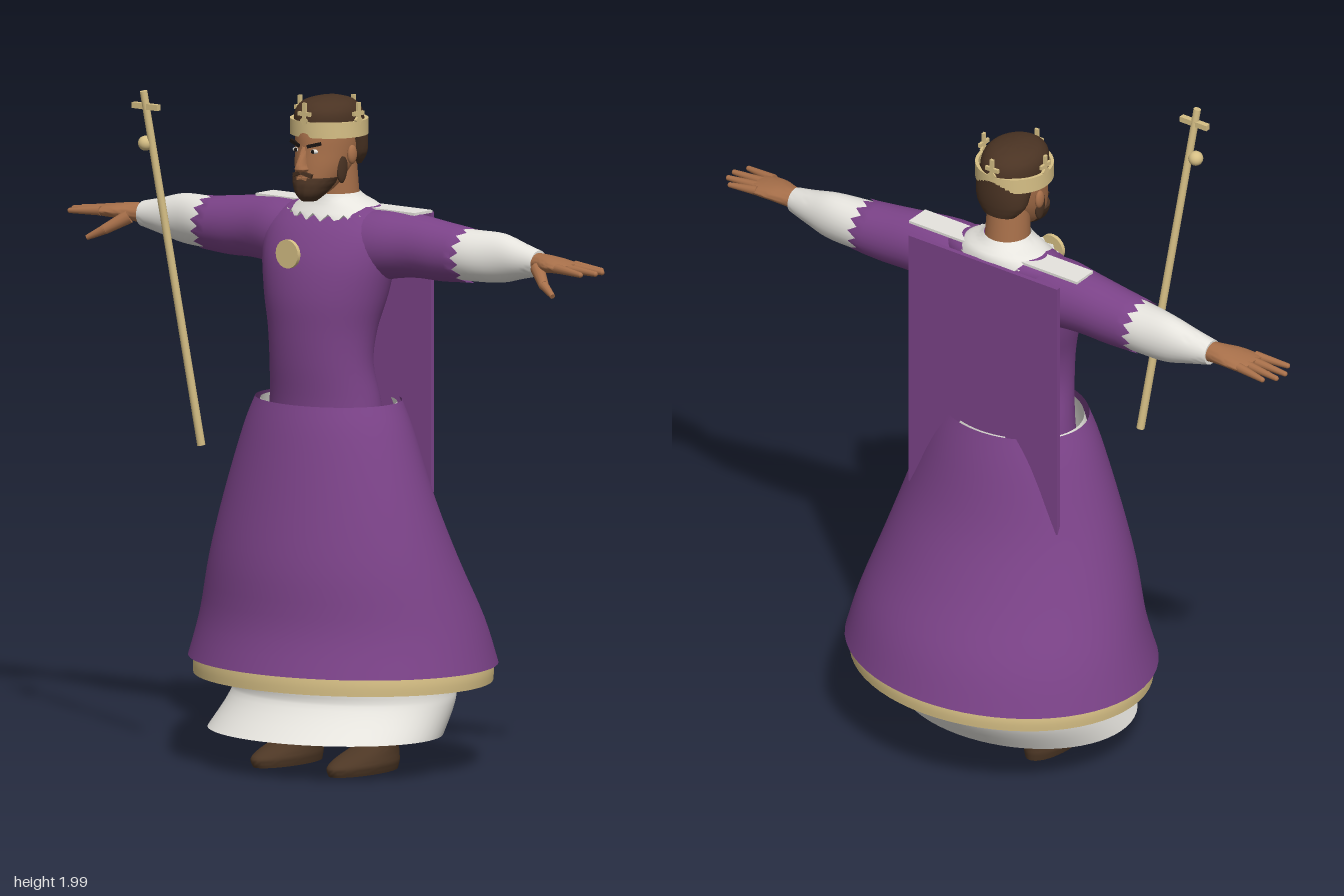
import * as THREE from 'three';
import { toCreasedNormals } from 'three/addons/utils/BufferGeometryUtils.js';

const mat = (name, color, side = THREE.FrontSide) => {
  const m = new THREE.MeshStandardMaterial({ color, side });
  m.name = name;
  return m;
};

// Smooth tube through elliptical sections [t, u0, u1, v0, v1]; v is z, and
// (t, u) is (y, x) for axis 'y' or (x, y) for axis 'x'. s = -1 mirrors in x.
function loft(rows, { n = 40, sub = 4, axis = 'y', s = 1, caps = true, jag = 0 } = {}) {
  const cr = (a, b, c, d, f) => b + 0.5 * f * (c - a + f * (2 * a - 5 * b + 4 * c - d + f * (3 * (b - c) + d - a)));
  const rings = [];
  for (let i = 0; i < rows.length - 1; i++) {
    const [a, b, c, d] = [i - 1, i, i + 1, i + 2].map(k => rows[THREE.MathUtils.clamp(k, 0, rows.length - 1)]);
    for (let j = 0; j < sub; j++) rings.push(b.map((_, k) => cr(a[k], b[k], c[k], d[k], j / sub)));
  }
  rings.push(rows[rows.length - 1]);
  const pos = [], idx = [], last = rings.length - 1;
  const put = (t, u, v) => (axis === 'y' ? pos.push(u, t, v) : pos.push(s * t, u, v));
  const dir = axis === 'y' ? 1 : -s;
  rings.forEach(([t, u0, u1, v0, v1], r) => {
    const torn = (jag > 0 && r === last) || (jag < 0 && r === 0);
    for (let i = 0; i < n; i++) {
      const q = (i / n) * Math.PI * 2;
      put(t + (torn ? (i % 2 ? jag : -jag) : 0),
        (u0 + u1) / 2 + dir * (u1 - u0) / 2 * Math.sin(q), (v0 + v1) / 2 + (v1 - v0) / 2 * Math.cos(q));
      if (r < last) {
        const a = r * n + i, b = r * n + (i + 1) % n;
        idx.push(a, b, b + n, a, b + n, a + n);
      }
    }
  });
  if (caps) {
    for (const r of [0, last]) {
      const [t, u0, u1, v0, v1] = rings[r], c = pos.length / 3;
      put(t, (u0 + u1) / 2, (v0 + v1) / 2);
      for (let i = 0; i < n; i++) {
        const a = r * n + i, b = r * n + (i + 1) % n;
        r ? idx.push(c, a, b) : idx.push(c, b, a);
      }
    }
  }
  const g = new THREE.BufferGeometry();
  g.setAttribute('position', new THREE.Float32BufferAttribute(pos, 3));
  g.setIndex(idx);
  return toCreasedNormals(g, 0.9);
}

// Rows symmetric in x: [y, halfWidth, zBack, zFront]
const sym = rows => rows.map(([y, h, b, f]) => [y, -h, h, b, f]);

export function createModel() {
  const D = THREE.DoubleSide;
  const purple = mat('purple cloth', 0x7c4389, D), white = mat('white linen', 0xe6e4de, D);
  const gold = mat('gold', 0xd6bf85, D), skin = mat('skin', 0xa8704a);
  const brown = mat('dark brown hair', 0x4a3323), leather = mat('shoe leather', 0x4d3725), black = mat('black', 0x1c1512);
  const model = new THREE.Group();
  model.name = 'robedKing';

  const add = (name, geo, m, x = 0, y = 0, z = 0, parent = model) => {
    const o = new THREE.Mesh(geo, m);
    o.name = name;
    o.position.set(x, y, z);
    parent.add(o);
    return o;
  };
  const limb = (name, a, b, r0, r1, m, n = 12) => {
    const p = new THREE.Vector3(...a), d = new THREE.Vector3(...b).sub(p);
    const o = add(name, new THREE.CylinderGeometry(r1, r0, d.length(), n), m);
    o.position.copy(p).addScaledVector(d, 0.5);
    o.quaternion.setFromUnitVectors(new THREE.Vector3(0, 1, 0), d.normalize());
    return o;
  };
  const ball = (name, m, x, y, z, rx, ry = rx, rz = rx) =>
    add(name, new THREE.SphereGeometry(1, 20, 14), m, x, y, z).scale.set(rx, ry, rz);
  const box = (w, h, d) => new THREE.BoxGeometry(w, h, d);

  // Skirts
  const open = { n: 64, caps: false };
  add('overskirt', loft(sym([[0.32, 0.48, -0.445, 0.355], [0.45, 0.445, -0.4, 0.318], [0.62, 0.395, -0.315, 0.303],
    [0.8, 0.338, -0.24, 0.27], [1.0, 0.27, -0.19, 0.23], [1.09, 0.23, -0.165, 0.206]]), open), purple);
  add('goldHem', loft(sym([[0.27, 0.465, -0.43, 0.34], [0.325, 0.463, -0.427, 0.335],
    [0.45, 0.425, -0.38, 0.298], [0.62, 0.37, -0.295, 0.28]]), open), gold);
  add('underskirt', loft(sym([[0.12, 0.37, -0.26, 0.33], [0.21, 0.357, -0.32, 0.235], [0.27, 0.35, -0.32, 0.225],
    [0.5, 0.34, -0.3, 0.24], [0.8, 0.3, -0.21, 0.24], [1.085, 0.215, -0.15, 0.19]]), open), white);

  // Torso, collar and cape
  add('tunic', loft(sym([[1.0, 0.19, -0.1, 0.165], [1.09, 0.18, -0.095, 0.165], [1.2, 0.168, -0.07, 0.175],
    [1.3, 0.175, -0.085, 0.18], [1.4, 0.2, -0.115, 0.18], [1.5, 0.222, -0.122, 0.16], [1.58, 0.23, -0.122, 0.12],
    [1.63, 0.205, -0.118, 0.075], [1.655, 0.14, -0.1, 0.04]])), purple);
  add('collar', loft(sym([[1.625, 0.168, -0.128, 0.092], [1.655, 0.13, -0.122, 0.07], [1.675, 0.085, -0.1, 0.06],
    [1.69, 0.068, -0.085, 0.055]]), { caps: false, jag: -0.012 }), white);
  add('cape', box(0.53, 0.82, 0.014), purple, 0, 1.23, -0.131);
  add('medallion', new THREE.CylinderGeometry(0.042, 0.042, 0.012, 20).rotateX(Math.PI / 2), gold, 0, 1.53, 0.203);

  // Arms, hands, legs and shoes
  for (const s of [1, -1]) {
    const side = s > 0 ? 'left' : 'right';
    const X = { axis: 'x', s, n: 28 };
    add(side + 'Sleeve', loft([[0.1, 1.42, 1.645, -0.115, 0.09], [0.2, 1.45, 1.652, -0.118, 0.08],
      [0.3, 1.463, 1.647, -0.115, 0.06], [0.4, 1.462, 1.635, -0.113, 0.052], [0.49, 1.467, 1.625, -0.112, 0.045]],
      { ...X, caps: false, jag: 0.014 }), purple);
    add(side + 'Undersleeve', loft([[0.4, 1.475, 1.625, -0.105, 0.04], [0.5, 1.472, 1.622, -0.108, 0.035],
      [0.6, 1.476, 1.62, -0.102, 0.012], [0.68, 1.495, 1.6, -0.088, 0.005], [0.745, 1.51, 1.585, -0.073, 0]], X), white);
    add(side + 'ShoulderPatch', box(0.2, 0.008, 0.08), white, s * 0.2, 1.65, -0.048);
    add(side + 'Palm', loft([[0.72, 1.518, 1.578, -0.066, -0.006], [0.76, 1.522, 1.578, -0.07, 0.005],
      [0.81, 1.528, 1.574, -0.078, 0.025], [0.86, 1.53, 1.566, -0.078, 0.032], [0.885, 1.535, 1.56, -0.072, 0.028]], X), skin);
    [[-0.063, 0.95, -0.072], [-0.036, 0.978, -0.042], [-0.008, 0.983, -0.006], [0.02, 0.962, 0.036]].forEach(([z, x, zt]) => {
      limb(side + 'Finger', [s * 0.86, 1.55, z], [s * x, 1.543, zt], 0.014, 0.008, skin);
      ball(side + 'Fingertip', skin, s * x, 1.543, zt, 0.008);
    });
    limb(side + 'ThumbBase', [s * 0.77, 1.54, 0], [s * 0.83, 1.5, 0.042], 0.021, 0.015, skin);
    limb(side + 'ThumbTip', [s * 0.825, 1.503, 0.04], [s * 0.878, 1.475, 0.06], 0.015, 0.008, skin);

    limb(side + 'Leg', [s * 0.14, 0.08, -0.06], [s * 0.13, 0.7, -0.02], 0.04, 0.075, skin, 20);
    const shoe = (y, a, b, z0, z1) => [y, Math.min(s * a, s * b), Math.max(s * a, s * b), z0, z1];
    add(side + 'Shoe', loft([shoe(0.01, 0.085, 0.2, -0.105, 0.175), shoe(0.035, 0.08, 0.207, -0.11, 0.182),
      shoe(0.06, 0.085, 0.2, -0.11, 0.14), shoe(0.09, 0.092, 0.19, -0.11, 0.05), shoe(0.125, 0.093, 0.187, -0.11, -0.005)]), leather);
  }

  // Head
  limb('neck', [0, 1.62, -0.02], [0, 1.78, -0.01], 0.068, 0.062, skin, 28);
  add('face', loft(sym([[1.69, 0.03, 0.05, 0.125], [1.72, 0.055, 0, 0.138], [1.77, 0.074, -0.05, 0.138],
    [1.82, 0.081, -0.08, 0.135], [1.87, 0.082, -0.085, 0.133], [1.92, 0.075, -0.07, 0.12]])), skin);
  add('nose', loft(sym([[1.762, 0.012, 0.11, 0.15], [1.77, 0.02, 0.11, 0.165], [1.785, 0.014, 0.11, 0.162],
    [1.835, 0.009, 0.11, 0.137]]), { n: 16 }), skin);
  add('beard', loft(sym([[1.675, 0.02, 0.08, 0.132], [1.695, 0.043, 0.055, 0.147], [1.725, 0.062, 0.02, 0.149],
    [1.745, 0.07, 0.01, 0.142]])), brown);
  add('mouth', box(0.035, 0.008, 0.008), skin, 0, 1.742, 0.14);
  add('hairCap', loft(sym([[1.865, 0.088, -0.092, 0.128], [1.9, 0.092, -0.095, 0.132], [1.935, 0.088, -0.085, 0.127],
    [1.96, 0.066, -0.058, 0.1], [1.972, 0.025, -0.015, 0.055]])), brown);
  add('hairBack', loft(sym([[1.77, 0.055, -0.088, -0.02], [1.8, 0.08, -0.094, 0.005], [1.84, 0.088, -0.097, 0.025],
    [1.89, 0.091, -0.096, 0.06]])), brown);
  for (const s of [1, -1]) {
    ball('ear', skin, s * 0.088, 1.808, 0.02, 0.011, 0.028, 0.018);
    ball('sideburn', brown, s * 0.07, 1.775, 0.045, 0.011, 0.05, 0.022);
    add('moustache', box(0.034, 0.011, 0.014), brown, s * 0.017, 1.756, 0.138).rotation.set(0, s * 0.25, -s * 0.3);
    ball('eyeWhite', white, s * 0.033, 1.823, 0.125, 0.014, 0.007, 0.007);
    ball('iris', black, s * 0.032, 1.823, 0.13, 0.006, 0.006, 0.004);
    add('eyebrow', box(0.044, 0.01, 0.009), black, s * 0.035, 1.842, 0.128).rotation.set(0, s * 0.25, s * 0.25);
  }

  // Crown with four upright crosses
  const crown = new THREE.Group();
  crown.name = 'crown';
  crown.position.set(0, 1.885, 0.018);
  model.add(crown);
  const band = [[0.104, -0.023], [0.114, -0.023], [0.114, 0.023], [0.104, 0.023], [0.104, -0.023]];
  const bandGeo = new THREE.LatheGeometry(band.map(p => new THREE.Vector2(...p)), 48);
  add('crownBand', toCreasedNormals(bandGeo, 0.6), gold, 0, 0, 0, crown);
  for (let i = 0; i < 4; i++) {
    const orn = new THREE.Group();
    orn.name = 'crownCross';
    orn.rotation.y = i * Math.PI / 2;
    crown.add(orn);
    add('post', box(0.012, 0.065, 0.008), gold, 0, 0.045, 0.11, orn);
    add('crossbar', box(0.046, 0.012, 0.008), gold, 0, 0.045, 0.11, orn);
    add('diamond', box(0.022, 0.022, 0.008), gold, 0, 0.026, 0.11, orn).rotation.z = Math.PI / 4;
  }

  // Floating staff
  limb('staff', [-0.24, 0.96, 0.307], [-0.346, 2, 0.44], 0.012, 0.011, gold, 16);
  ball('staffKnob', gold, -0.352, 1.845, 0.424, 0.022);
  add('staffCrossbar', box(0.095, 0.017, 0.017), gold, -0.341, 1.955, 0.434);
  return model;
}
